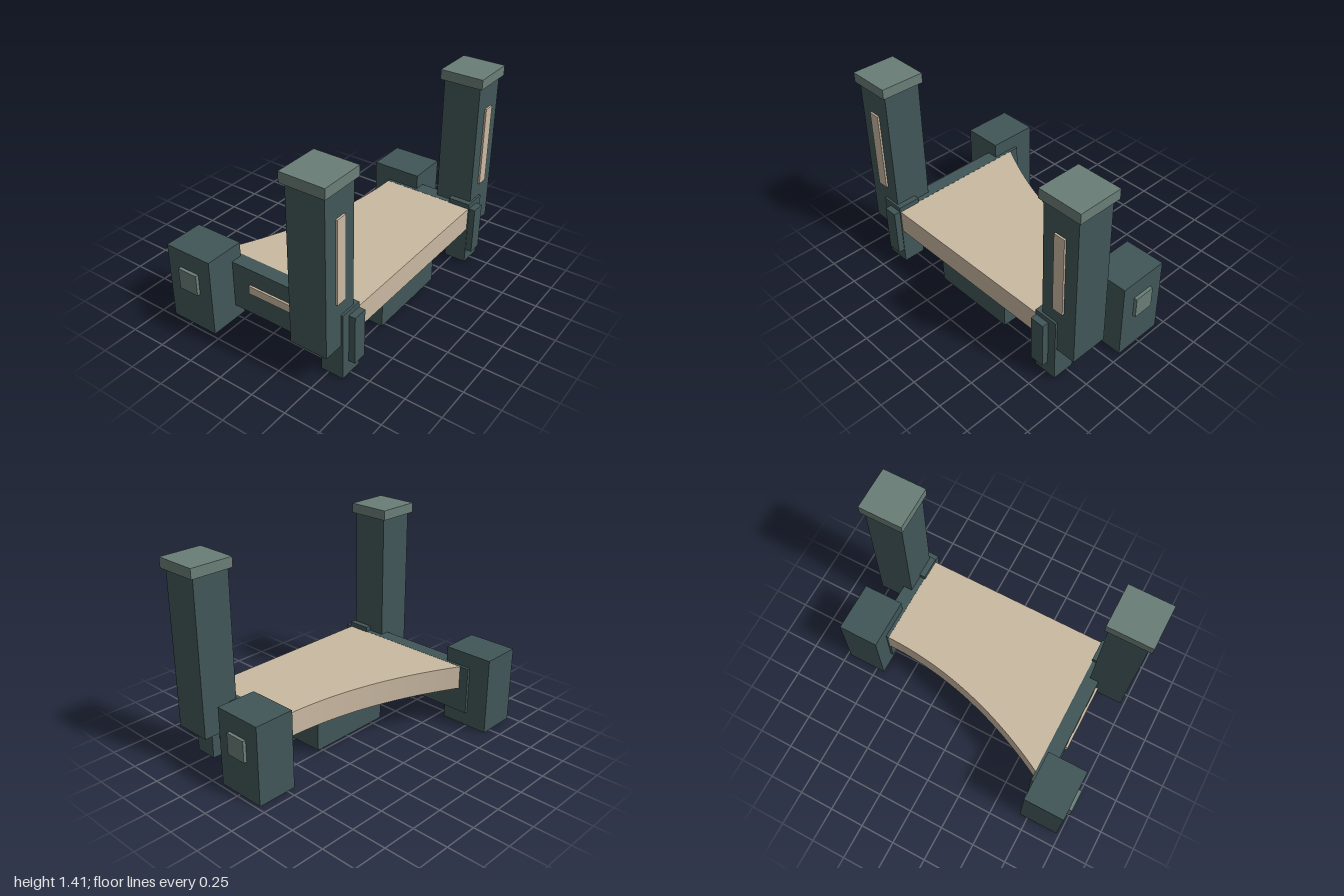
import * as THREE from 'three';

const slate = new THREE.MeshStandardMaterial({ name: 'slate', color: 0x415658 });
const sage = new THREE.MeshStandardMaterial({ name: 'sage', color: 0x6a7d77 });
const sand = new THREE.MeshStandardMaterial({ name: 'sand', color: 0xcab9a2 });

// Box given by its extents along each axis
function box(parent, name, material, [x0, x1], [y0, y1], [z0, z1]) {
  const mesh = new THREE.Mesh(new THREE.BoxGeometry(x1 - x0, y1 - y0, z1 - z0), material);
  mesh.position.set((x0 + x1) / 2, (y0 + y1) / 2, (z0 + z1) / 2);
  mesh.name = name;
  parent.add(mesh);
}

// One side assembly; s = 1 is the front, s = -1 the back
function side(s, blockX, railX, stripeX) {
  const group = new THREE.Group();
  group.name = s > 0 ? 'frontSide' : 'backSide';
  const z = (a, b) => (s > 0 ? [a, b] : [-b, -a]);

  box(group, 'rail', slate, [railX, 0.655], [0.105, 0.45], z(0.67, 0.772));
  box(group, 'railStripe', sand, [stripeX, 0.4], [0.272, 0.33], z(0.77, 0.787));
  box(group, 'foot', slate, [0.45, 0.61], [0.005, 0.485], z(0.665, 0.832));

  // Tall post with its cap and inlay
  box(group, 'post', slate, [0.33, 0.595], [0.255, 1.345], z(0.707, 0.972));
  box(group, 'postCap', sage, [0.308, 0.617], [1.345, 1.415], z(0.688, 0.997));
  box(group, 'postInlay', sand, [0.59, 0.608], [0.59, 1.162], z(0.8, 0.88));

  // Heavy end block with a small plate on its outer face
  box(group, 'endBlock', slate, [blockX, blockX + 0.356], [0, 0.555], z(0.691, 0.977));
  box(group, 'blockPlate', sage, [blockX + 0.104, blockX + 0.255], [0.274, 0.425], z(0.97, 1));
  return group;
}

export function createModel() {
  const model = new THREE.Group();
  model.name = 'platform';

  model.add(side(1, -0.656, -0.5, -0.157));
  model.add(side(-1, -0.187, -0.065, 0.05));

  // Deck with one curved edge, drawn in x and -z and raised along y
  const shape = new THREE.Shape();
  shape.moveTo(0.605, -0.675);
  shape.lineTo(0.605, 0.675);
  shape.lineTo(-0.065, 0.675);
  shape.quadraticCurveTo(-0.065, 0, -0.435, -0.675);
  shape.closePath();
  const deckGeometry = new THREE.ExtrudeGeometry(shape, { depth: 0.168, bevelEnabled: false, curveSegments: 24 });
  deckGeometry.rotateX(-Math.PI / 2);
  const deck = new THREE.Mesh(deckGeometry, sand);
  deck.position.y = 0.281;
  deck.name = 'deck';
  model.add(deck);

  // Box slung beneath the deck
  box(model, 'underBox', slate, [-0.015, 0.545], [0.03, 0.268], [-0.312, 0.312]);

  return model;
}
